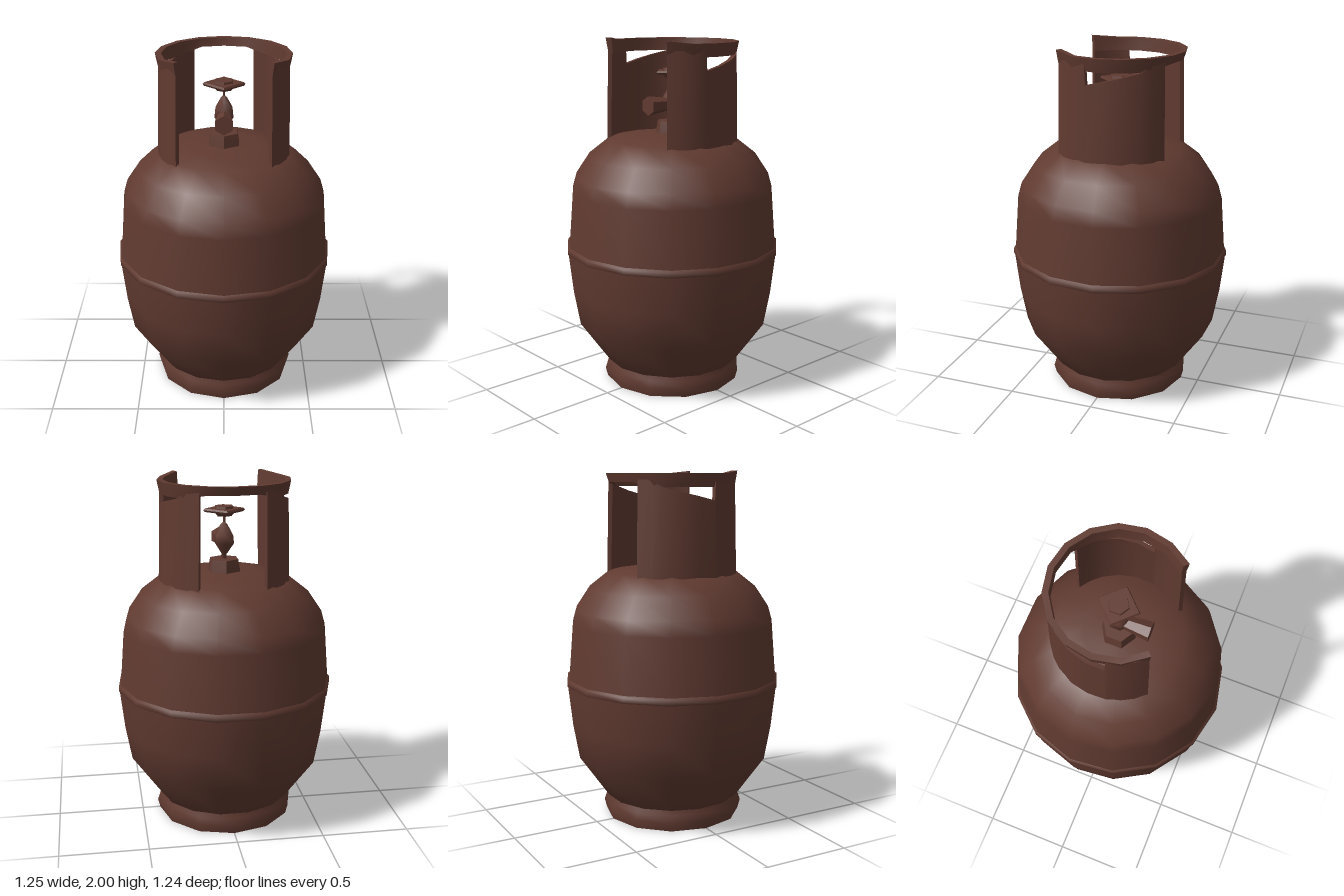
import * as THREE from 'three';
import { toCreasedNormals } from 'three/addons/utils/BufferGeometryUtils.js';

const rad = THREE.MathUtils.degToRad;

function lathe(points, sides, crease = 0) {
  const g = new THREE.LatheGeometry(points.map(([r, y]) => new THREE.Vector2(r, y)), sides);
  return crease ? toCreasedNormals(g, crease) : g;
}

// Solid swept round the y axis. Each station is { a: degrees from +x to +z, section: four [r, y] corners }.
function arcSolid(stations) {
  const pos = [], idx = [];
  for (const { a, section } of stations) {
    const c = Math.cos(rad(a)), s = Math.sin(rad(a));
    for (const [r, y] of section) pos.push(r * c, y, r * s);
  }
  const last = (stations.length - 1) * 4;
  for (let i = 0; i < last; i += 4) {
    for (let j = 0; j < 4; j++) {
      const k = (j + 1) % 4;
      idx.push(i + j, i + k, i + 4 + j, i + k, i + 4 + k, i + 4 + j);
    }
  }
  idx.push(0, 2, 1, 0, 3, 2, last, last + 1, last + 2, last, last + 2, last + 3);
  const g = new THREE.BufferGeometry();
  g.setAttribute('position', new THREE.Float32BufferAttribute(pos, 3));
  g.setIndex(idx);
  return toCreasedNormals(g, 0.75);
}

export function createModel() {
  const group = new THREE.Group();
  const paint = new THREE.MeshStandardMaterial({ color: 0x603a30 });
  paint.name = 'brown paint';

  function add(name, geometry, x = 0, y = 0, z = 0) {
    const mesh = new THREE.Mesh(geometry, paint);
    mesh.name = name;
    mesh.position.set(x, y, z);
    group.add(mesh);
    return mesh;
  }

  // Pressure vessel, widest just below the seam
  add('tankBody', lathe([
    [0, 0.08], [0.33, 0.1], [0.39, 0.12], [0.56, 0.36], [0.596, 0.56], [0.621, 0.785],
    [0.613, 0.83], [0.588, 1.14], [0.565, 1.22], [0.485, 1.34], [0.365, 1.435], [0.2, 1.46], [0, 1.47],
  ], 15));

  // Weld seam round the middle
  add('weldSeam', lathe([[0.612, 0.775], [0.626, 0.787], [0.626, 0.815], [0.606, 0.83]], 15));

  // Hollow foot ring with a rolled lower lip
  add('footRing', lathe([
    [0.35, 0.02], [0.37, 0], [0.395, 0], [0.408, 0.05], [0.395, 0.09], [0.385, 0.12],
    [0.34, 0.12], [0.335, 0.06], [0.35, 0.02],
  ], 12, 0.8));

  // Side panels of the collar; the top edge dips to form a tapering hand slot
  const panelTop = [
    [-60, 1.95], [-48, 1.95], [-37, 1.91], [-21, 1.887], [-5, 1.863],
    [10.5, 1.84], [11.5, 1.95], [23, 1.95], [35, 1.95], [46, 1.95],
  ];
  const panel = panelTop.map(([a, top]) => ({
    a, section: [[0.352, 1.41], [0.375, 1.41], [0.362, top], [0.338, top]],
  }));
  add('collarPanelLeft', arcSolid(panel));
  add('collarPanelRight', arcSolid(panel.map(({ a, section }) => ({ a: 180 - a, section })).reverse()));

  // Rim joining both panels round the back, open at the front and slimmer over the rear window
  const rim = [];
  const steps = 12;
  for (let i = 0; i <= steps; i++) {
    const top = i === 0 || i === steps ? 2 : 1.985;
    const bottom = Math.abs(i - steps / 2) <= 1 ? 1.938 : 1.912;
    rim.push({
      a: -226 + (272 * i) / steps,
      section: [[0.335, bottom], [0.36, bottom], [0.375, top], [0.342, top]],
    });
  }
  add('collarRim', arcSolid(rim));

  // Valve
  add('valveBase', lathe([[0.1, 1.45], [0.096, 1.48], [0.086, 1.535], [0, 1.535]], 6, 0.6));
  add('valveBody', lathe([
    [0.015, 1.53], [0.015, 1.56], [0.06, 1.625], [0.055, 1.67], [0.02, 1.73], [0, 1.75],
  ], 6));
  add('valveStem', new THREE.CylinderGeometry(0.007, 0.007, 0.08, 6), 0, 1.76, 0);
  const outlet = add('valveOutlet', toCreasedNormals(
    new THREE.CylinderGeometry(0.055, 0.035, 0.16, 6), 0.8), 0, 1.63, 0.1);
  outlet.rotation.x = Math.PI / 2;

  // Four-cornered handwheel with a hub
  add('handwheel', lathe([
    [0, 1.8], [0.11, 1.8], [0.118, 1.81], [0.11, 1.82], [0, 1.82],
  ], 4, 0.6));
  add('handwheelHub', lathe([
    [0, 1.778], [0.045, 1.778], [0.062, 1.8], [0.055, 1.833], [0, 1.833],
  ], 6, 0.6));

  return group;
}
